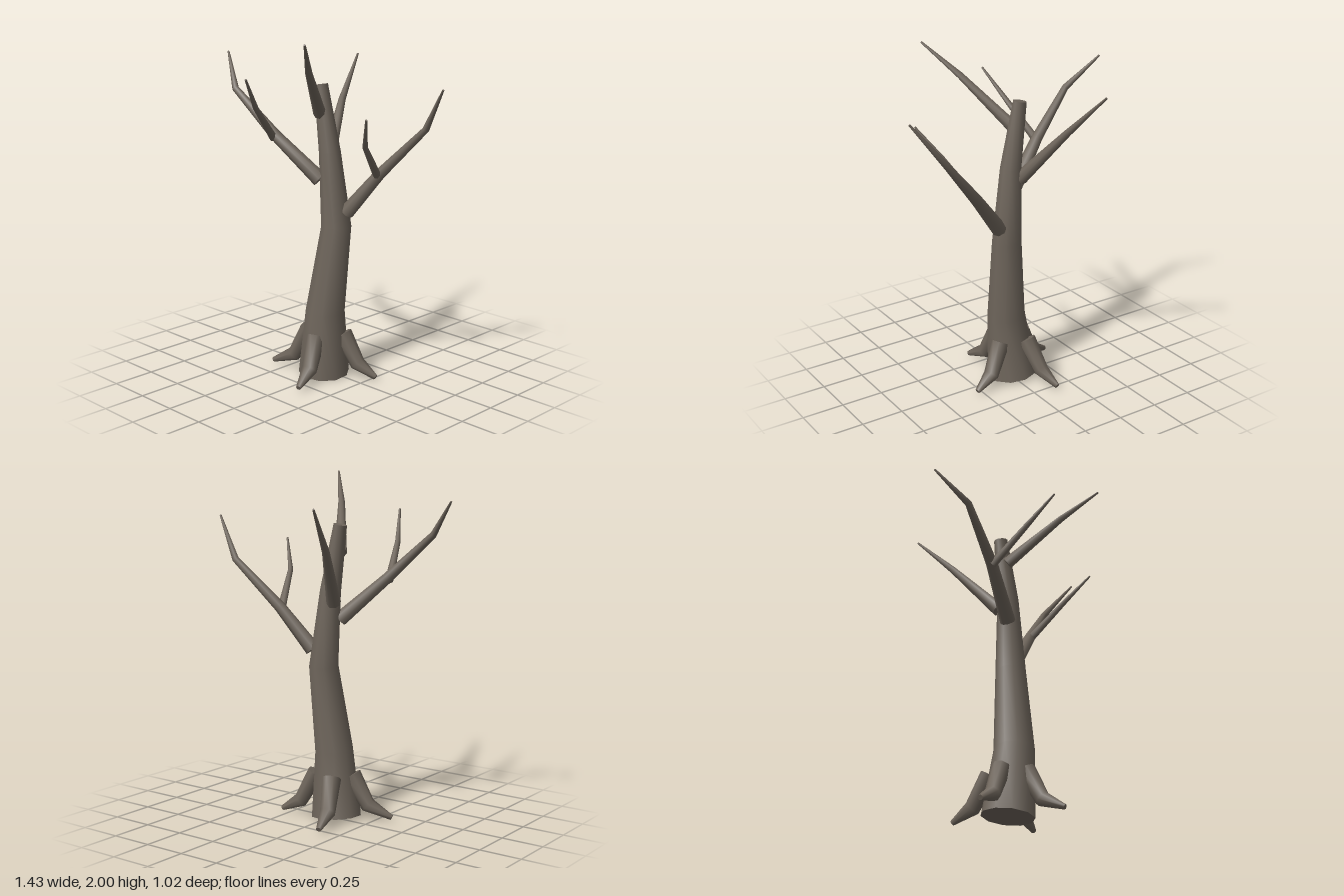
import * as THREE from 'three';

// Tapered limb swept along stations [x, y, z, radius], closed at both ends.
function limbGeometry(stations, sides) {
  const pts = stations.map(s => new THREE.Vector3(s[0], s[1], s[2]));
  const up = new THREE.Vector3(0, 1, 0);
  const last = pts.length - 1;
  const pos = [], index = [];
  const ring = i => {
    const t = new THREE.Vector3();
    if (i > 0) t.add(pts[i].clone().sub(pts[i - 1]).normalize());
    if (i < last) t.add(pts[i + 1].clone().sub(pts[i]).normalize());
    const q = new THREE.Quaternion().setFromUnitVectors(up, t.normalize());
    const start = pos.length / 3;
    for (let k = 0; k < sides; k++) {
      const a = k / sides * Math.PI * 2, r = stations[i][3];
      const v = new THREE.Vector3(Math.sin(a) * r, 0, Math.cos(a) * r).applyQuaternion(q).add(pts[i]);
      pos.push(v.x, v.y, v.z);
    }
    return start;
  };
  // Bark
  for (let i = 0; i <= last; i++) {
    const s = ring(i);
    if (i === 0) continue;
    for (let k = 0; k < sides; k++) {
      const n = (k + 1) % sides, b = s - sides;
      index.push(b + k, b + n, s + k, b + n, s + n, s + k);
    }
  }
  // End caps with their own vertices, so that their edges stay sharp
  const bottom = ring(0), top = ring(last);
  for (let k = 1; k < sides - 1; k++) {
    index.push(bottom, bottom + k + 1, bottom + k);
    index.push(top, top + k, top + k + 1);
  }
  const g = new THREE.BufferGeometry();
  g.setAttribute('position', new THREE.Float32BufferAttribute(pos, 3));
  g.setIndex(index);
  g.computeVertexNormals();
  return g;
}

export function createModel() {
  const tree = new THREE.Group();
  tree.name = 'bareTree';
  const bark = new THREE.MeshStandardMaterial({ color: 0x6e655b });
  bark.name = 'greyBrownBark';

  const add = (name, stations, sides = 8) => {
    const mesh = new THREE.Mesh(limbGeometry(stations, sides), bark);
    mesh.name = name;
    tree.add(mesh);
  };

  add('trunk', [
    [-0.025, 0.012, 0.025, 0.15],
    [0.005, 0.4, 0.043, 0.115],
    [0.037, 0.9, -0.015, 0.088],
    [0.0, 1.33, 0.0, 0.063],
    [-0.065, 1.71, 0.005, 0.04],
  ], 10);

  // Main branches
  add('rightBranch', [
    [-0.04, 1.17, 0.04, 0.045], [-0.285, 1.41, 0.155, 0.033],
    [-0.54, 1.66, 0.228, 0.02], [-0.71, 1.85, 0.13, 0.006],
  ]);
  add('leftBranch', [
    [0.1, 0.99, -0.035, 0.045], [0.29, 1.23, -0.1, 0.033],
    [0.53, 1.5, -0.208, 0.02], [0.71, 1.745, -0.13, 0.006],
  ]);
  add('frontBranch', [
    [-0.045, 1.55, 0.035, 0.037], [0.14, 1.82, 0.3, 0.02], [0.288, 1.996, 0.473, 0.006],
  ]);
  add('backBranch', [
    [-0.045, 1.27, -0.03, 0.042], [-0.18, 1.58, -0.285, 0.021], [-0.268, 1.82, -0.51, 0.006],
  ]);

  // Twigs growing from the two side branches
  add('rightTwig', [
    [-0.29, 1.395, 0.165, 0.024], [-0.215, 1.6, 0.365, 0.016], [-0.135, 1.78, 0.505, 0.006],
  ]);
  add('leftTwig', [
    [0.285, 1.22, -0.09, 0.024], [0.375, 1.425, 0.11, 0.015], [0.485, 1.6, 0.22, 0.006],
  ]);

  // Roots, from the tip up into the trunk
  add('rightRoot', [
    [-0.34, 0.022, 0.137, 0.015], [-0.205, 0.085, 0.09, 0.045], [-0.11, 0.26, 0.06, 0.055],
  ]);
  add('leftRoot', [
    [0.29, 0.022, -0.085, 0.015], [0.175, 0.085, -0.055, 0.045], [0.085, 0.26, -0.02, 0.055],
  ]);
  add('frontRoot', [
    [0.085, 0.022, 0.34, 0.015], [0.045, 0.085, 0.215, 0.045], [0.015, 0.26, 0.125, 0.055],
  ]);
  add('backRoot', [
    [-0.135, 0.022, -0.295, 0.015], [-0.105, 0.085, -0.17, 0.045], [-0.065, 0.26, -0.075, 0.055],
  ]);
  return tree;
}
